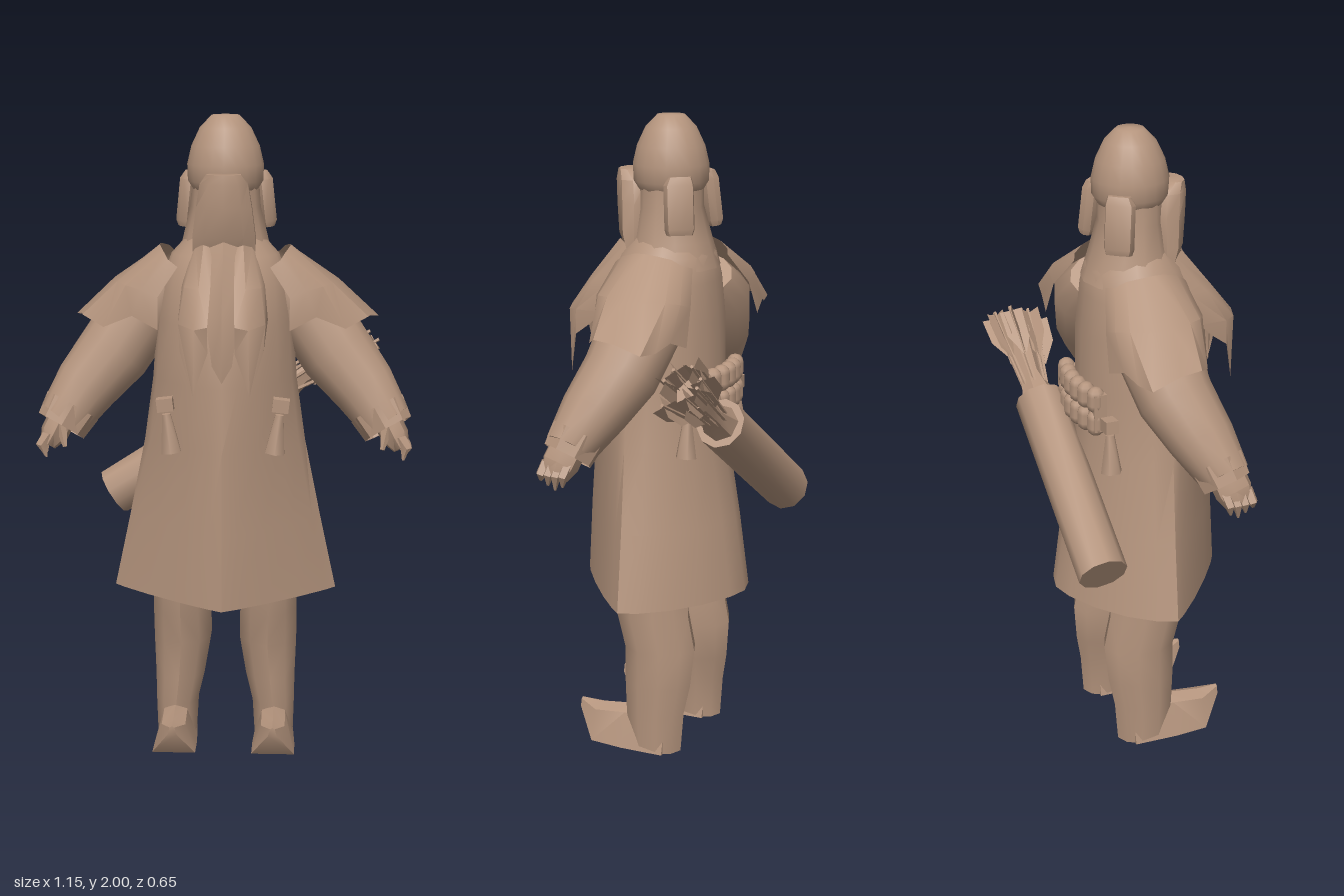
import * as THREE from 'three';
import { toCreasedNormals } from 'three/addons/utils/BufferGeometryUtils.js';

const V = (x, y, z) => new THREE.Vector3(x, y, z);
const clay = new THREE.MeshStandardMaterial({ color: 0xb4947d, side: THREE.DoubleSide });
clay.name = 'warm clay';

function add(parent, name, geometry) {
  const m = new THREE.Mesh(geometry, clay);
  m.name = name;
  parent.add(m);
  return m;
}

// Skin between rows of points; closed rings may be capped at both ends
function loft(rows, closed = true, caps = closed, crease = 0.75) {
  const n = rows[0].length, pos = [], idx = [];
  rows.forEach(r => r.forEach(p => pos.push(p.x, p.y, p.z)));
  for (let i = 0; i < rows.length - 1; i++) {
    for (let j = 0; j < (closed ? n : n - 1); j++) {
      const k = (j + 1) % n, a = i * n + j, b = i * n + k;
      idx.push(a, b, b + n, a, b + n, a + n);
    }
  }
  if (caps) {
    const top = (rows.length - 1) * n;
    for (let j = 1; j < n - 1; j++) idx.push(0, j + 1, j, top, top + j, top + j + 1);
  }
  const g = new THREE.BufferGeometry();
  g.setAttribute('position', new THREE.Float32BufferAttribute(pos, 3));
  g.setIndex(idx);
  return toCreasedNormals(g, crease);
}

// Ring whose front and back halves run from diamond (1) to ellipse (2)
const ring = (n, front = 2, back = front) => Array.from({ length: n }, (_, i) => {
  const a = i / n * Math.PI * 2, c = Math.cos(a), s = Math.sin(a), e = 2 / (c > 0 ? front : back);
  return [Math.sign(c) * Math.abs(c) ** e, Math.sign(s) * Math.abs(s) ** e];
});

// Stations [x, y, z, radius along ref, radius across, own profile], all facing dir
function tube(stations, ref, profile = ring(10), dir = null, caps = true) {
  const s = stations, e = s[s.length - 1];
  const d = dir || V(e[0] - s[0][0], e[1] - s[0][1], e[2] - s[0][2]).normalize();
  const u = ref.clone().addScaledVector(d, -ref.dot(d)).normalize();
  const v = d.clone().cross(u);
  return loft(s.map(([x, y, z, a, b, own = profile]) => own.map(([p, q]) =>
    V(x, y, z).addScaledVector(u, p * a).addScaledVector(v, q * b))), true, caps);
}

const sheet = rows => loft(rows.map(r => r.map(p => V(...p))), false, false);
const X = V(1, 0, 0), Y = V(0, 1, 0), Z = V(0, 0, 1);

// Small bell-shaped pouch hanging from a strap
function hangingPouch(parent, name, x, y, z, tilt) {
  const g = new THREE.Group();
  g.name = name;
  add(g, 'pouchBell', new THREE.CylinderGeometry(0.014, 0.034, 0.12, 6));
  add(g, 'pouchKnot', new THREE.BoxGeometry(0.05, 0.04, 0.04)).position.y = 0.09;
  g.position.set(x, y, z);
  g.rotation.z = tilt;
  parent.add(g);
}

function buildSide(s) {
  const side = new THREE.Group();
  side.name = s > 0 ? 'leftSide' : 'rightSide';
  side.scale.x = s;

  // Leg and boot with a raised, pointed toe
  add(side, 'leg', tube([
    [0.157, 0, -0.01, 0.09, 0.064], [0.155, 0.13, -0.01, 0.1, 0.07], [0.145, 0.22, -0.015, 0.112, 0.082],
    [0.137, 0.34, -0.02, 0.118, 0.095], [0.138, 0.45, 0.005, 0.122, 0.094], [0.14, 0.62, 0.01, 0.125, 0.09],
  ], Z, ring(10), Y));
  const sole = [[1, 0], [0.7, -0.55], [-1, -1], [-1, 1], [0.7, 0.55]];
  add(side, 'boot', tube([
    [0.157, 0.065, -0.06, 0.065, 0.062], [0.157, 0.067, 0.08, 0.065, 0.068],
    [0.157, 0.064, 0.185, 0.056, 0.068], [0.157, 0.108, 0.25, 0.014, 0.014],
  ], Y, sole, Z));

  // Wide sleeve, cuff and mitten
  add(side, 'sleeve', tube([
    [0.17, 1.49, -0.02, 0.1, 0.08], [0.25, 1.41, -0.02, 0.125, 0.115], [0.345, 1.27, 0.01, 0.115, 0.115],
    [0.43, 1.17, 0.055, 0.1, 0.1], [0.5, 1.07, 0.1, 0.075, 0.08],
  ], Z, ring(12)));
  add(side, 'cuff', tube([[0.47, 1.11, 0.085, 0.084, 0.09], [0.505, 1.05, 0.105, 0.078, 0.08]],
    Z, ring(8), null, false));
  add(side, 'mitten', tube([
    [0.495, 1.09, 0.1, 0.06, 0.045], [0.525, 1.03, 0.12, 0.06, 0.045], [0.545, 0.995, 0.13, 0.045, 0.026],
  ], Z, ring(7)));
  for (let i = 0; i < 4; i++) {
    const z = 0.085 + i * 0.024;
    add(side, 'finger', tube([[0.535, 1.035, z, 0.018, 0.022], [0.56, 1.0, z + 0.008, 0.016, 0.018],
      [0.552, 0.955 + 0.012 * Math.abs(i - 1), z + 0.014, 0.004, 0.004]], Z, ring(5)));
  }
  add(side, 'thumb', tube([[0.5, 1.07, 0.15, 0.02, 0.02], [0.485, 1.0, 0.175, 0.007, 0.007]], Z, ring(5)));

  // Ragged cape draped over the shoulder, its longest tip to the back
  add(side, 'shoulderCape', sheet([
    [[0.2, 1.36, 0.15], [0.28, 1.4, 0.13], [0.37, 1.36, 0.1], [0.44, 1.39, 0.05], [0.45, 1.385, -0.02],
      [0.478, 1.365, -0.12], [0.41, 1.36, -0.135], [0.35, 1.38, -0.155], [0.27, 1.35, -0.17]],
    [[0.2, 1.46, 0.15], [0.25, 1.48, 0.135], [0.3, 1.49, 0.105], [0.33, 1.495, 0.06], [0.345, 1.49, 0],
      [0.35, 1.49, -0.07], [0.32, 1.49, -0.125], [0.28, 1.48, -0.155], [0.22, 1.46, -0.16]],
    [[0.14, 1.55, 0.13], [0.17, 1.57, 0.11], [0.185, 1.59, 0.08], [0.2, 1.605, 0.03], [0.2, 1.605, 0],
      [0.195, 1.6, -0.04], [0.18, 1.59, -0.08], [0.165, 1.57, -0.11], [0.13, 1.56, -0.125]],
  ]));

  // Hanging scarf tail, folded back to the chest along its outer edge
  add(side, 'scarfTail', sheet([
    [[0.04, 1.32, 0.315], [0.085, 1.19, 0.31], [0.125, 1.32, 0.275], [0.13, 1.36, 0.22]],
    [[0.04, 1.4, 0.328], [0.08, 1.39, 0.318], [0.13, 1.4, 0.27], [0.135, 1.4, 0.18]],
    [[0.035, 1.5, 0.245], [0.07, 1.5, 0.245], [0.115, 1.5, 0.21], [0.125, 1.5, 0.15]],
    [[0.035, 1.61, 0.14], [0.06, 1.62, 0.15], [0.085, 1.61, 0.12], [0.1, 1.6, 0.08]],
  ]));

  // Ear flap lying against the back corner of the cap
  const flap = add(side, 'earFlap', tube([[0, -0.088, 0, 0.04, 0.018], [0, -0.07, 0, 0.046, 0.026],
    [0, 0.06, 0, 0.046, 0.026], [0, 0.085, -0.004, 0.036, 0.016]], Z, ring(8, 4), Y));
  flap.position.set(0.108, 1.74, -0.07);
  flap.rotation.set(0, 0.65, 0.13, 'YXZ');

  hangingPouch(side, 'frontPouch', 0.165, 1.05, 0.19, -0.12);
  hangingPouch(side, 'backPouch', 0.19, 1.05, -0.135, 0.08);
  return side;
}

function buildQuiver() {
  const g = new THREE.Group();
  g.name = 'quiver';
  // Built along +y, then tilted across the back
  add(g, 'quiverCase', tube([[0, 0, 0, 0.078, 0.076], [0, 0.65, 0, 0.078, 0.076]], X, ring(10)));
  add(g, 'arrowBundle', tube([[0, 0.64, 0, 0.06, 0.06], [0, 0.74, 0, 0.034, 0.034], [0, 0.9, 0, 0.05, 0.05]],
    X, ring(7)));
  for (let i = 0; i < 8; i++) {
    const a = i * 2.4, r = 0.04 + 0.05 * ((i * 5) % 8) / 8, end = 0.91 + 0.09 * ((i * 3) % 8) / 8;
    const bx = Math.cos(a), bz = Math.sin(a);
    add(g, 'arrowShaft', tube([[bx * 0.03, 0.63, bz * 0.03, 0.006, 0.006], [bx * r, end + 0.015, bz * r, 0.006, 0.006]],
      X, ring(5)));
    for (const t of [a, a + 1.6]) {
      const fx = Math.cos(t) * 0.037, fz = Math.sin(t) * 0.037, k = r * 0.75;
      add(g, 'arrowFletching', sheet([
        [[bx * k, end - 0.17, bz * k], [bx * k, end - 0.17, bz * k]],
        [[bx * r * 0.9 - fx, end - 0.09, bz * r * 0.9 - fz], [bx * r * 0.9 + fx, end - 0.09, bz * r * 0.9 + fz]],
        [[bx * r - fx, end, bz * r - fz], [bx * r + fx, end, bz * r + fz]],
      ]));
    }
  }
  g.position.set(-0.378, 0.75, -0.235);
  g.rotation.z = -0.995;
  return g;
}

export function createModel() {
  const model = new THREE.Group();
  model.name = 'hoodedArcher';

  // Long flared coat: ridged down the front, flatter behind, open underneath
  const hem = ring(20, 1.1, 1.5);
  add(model, 'coat', tube([
    [0, 0.515, 0.025, 0.275, 0.35, hem], [0, 0.75, 0.035, 0.252, 0.3, ring(20, 1.15, 1.6)],
    [0, 1.0, 0.047, 0.22, 0.25, ring(20, 1.25, 1.8)], [0, 1.2, 0.052, 0.212, 0.222, ring(20, 1.5, 2)],
    [0, 1.38, 0.045, 0.2, 0.21, ring(20, 1.6, 2.2)], [0, 1.5, 0.03, 0.172, 0.195, ring(20, 1.8, 2.2)],
    [0, 1.58, 0.012, 0.142, 0.165], [0, 1.64, 0.01, 0.1, 0.11],
  ], Z, ring(20), Y, false));
  add(model, 'coatLining', tube([[0, 0.52, 0.025, 0.27, 0.344], [0, 0.6, 0.03, 0.14, 0.2]], Z, hem, Y));

  // Hood, face wrap and rounded cap
  add(model, 'hood', tube([
    [0, 1.54, 0, 0.145, 0.155], [0, 1.62, 0, 0.12, 0.132], [0, 1.72, 0.005, 0.098, 0.108], [0, 1.83, 0.005, 0.1, 0.1],
  ], Z, ring(12), Y));
  add(model, 'faceWrap', tube([
    [0, 1.57, 0.095, 0.033, 0.1], [0, 1.64, 0.105, 0.06, 0.1], [0, 1.73, 0.11, 0.065, 0.088],
    [0, 1.8, 0.118, 0.062, 0.076], [0, 1.83, 0.14, 0.035, 0.055],
  ], Z, ring(10), Y));
  const cap = [[0.1, 1.775], [0.115, 1.8], [0.117, 1.85], [0.104, 1.905], [0.078, 1.96], [0.042, 1.997], [0, 2]];
  add(model, 'cap', new THREE.LatheGeometry(cap.map(([r, y]) => new THREE.Vector2(r, y)), 20)).position.z = 0.006;

  // Pointed scarf front between the two tails
  add(model, 'scarfFront', sheet([
    [[-0.03, 1.27, 0.258], [0, 1.22, 0.272], [0.03, 1.27, 0.258]],
    [[-0.05, 1.42, 0.25], [0, 1.42, 0.28], [0.05, 1.42, 0.25]],
    [[-0.08, 1.61, 0.12], [0, 1.63, 0.16], [0.08, 1.61, 0.12]],
  ]));

  // Belt of small pouches across the back
  const belt = new THREE.Group();
  belt.name = 'pouchBelt';
  for (let i = 0; i < 6; i++) {
    const x = (i - 2.5) * 0.05, z = -0.176 + x * x * 1.2;
    for (const y of [1.13, 1.205]) {
      add(belt, 'beltPouch', new THREE.CapsuleGeometry(0.028, 0.028, 3, 8)).position.set(x, y, z);
    }
  }
  add(belt, 'beltBacking', new THREE.BoxGeometry(0.3, 0.12, 0.04)).position.set(0, 1.167, -0.15);
  model.add(belt);

  model.add(buildQuiver(), buildSide(1), buildSide(-1));
  return model;
}
